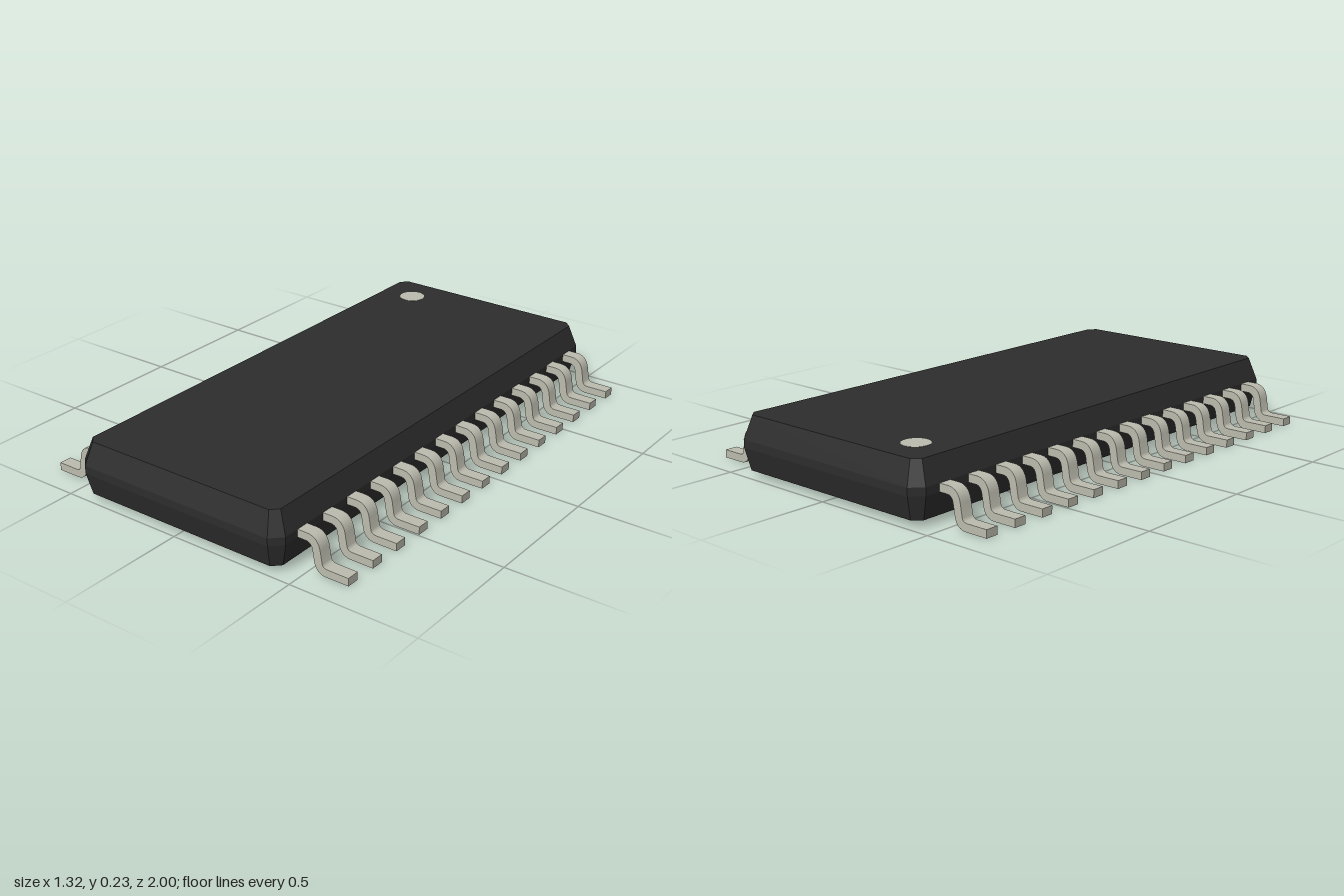
import * as THREE from 'three';
import { toCreasedNormals } from 'three/addons/utils/BufferGeometryUtils.js';

const LEADS = 14, PITCH = 0.134, LEAD_WIDTH = 0.05;

// Rectangle with cut corners at height y
function ring([y, hx, hz, c]) {
  return [
    [hx, -hz + c], [hx, hz - c], [hx - c, hz], [-hx + c, hz],
    [-hx, hz - c], [-hx, -hz + c], [-hx + c, -hz], [hx - c, -hz],
  ].map(([x, z]) => [x, y, z]);
}

// Skin a stack of rings and cap both ends, flat faceted
function loft(sections) {
  const rings = sections.map(ring), pos = [];
  const tri = (...pts) => pts.forEach((p) => pos.push(...p));
  for (let k = 0; k < rings.length - 1; k++) {
    const lo = rings[k], hi = rings[k + 1];
    for (let i = 0; i < 8; i++) {
      const j = (i + 1) % 8;
      tri(lo[i], hi[i], hi[j]);
      tri(lo[i], hi[j], lo[j]);
    }
  }
  const bottom = rings[0], top = rings[rings.length - 1];
  for (let i = 1; i < 7; i++) {
    tri(bottom[0], bottom[i], bottom[i + 1]);
    tri(top[0], top[i + 1], top[i]);
  }
  const geo = new THREE.BufferGeometry();
  geo.setAttribute('position', new THREE.Float32BufferAttribute(pos, 3));
  geo.computeVertexNormals();
  return geo;
}

// Gull-wing lead: side profile extruded across its width
function leadGeometry() {
  const s = new THREE.Shape();
  s.moveTo(0.43, 0.11);
  s.lineTo(0.487, 0.11);
  s.quadraticCurveTo(0.511, 0.11, 0.515, 0.083);
  s.lineTo(0.522, 0.04);
  s.bezierCurveTo(0.527, 0.016, 0.543, 0, 0.57, 0);
  s.lineTo(0.66, 0);
  s.lineTo(0.66, 0.03);
  s.lineTo(0.576, 0.03);
  s.quadraticCurveTo(0.557, 0.03, 0.554, 0.046);
  s.lineTo(0.547, 0.088);
  s.bezierCurveTo(0.542, 0.12, 0.525, 0.14, 0.493, 0.14);
  s.lineTo(0.43, 0.14);
  s.closePath();
  const geo = new THREE.ExtrudeGeometry(s, { depth: LEAD_WIDTH, bevelEnabled: false, curveSegments: 8 });
  geo.translate(0, 0, -LEAD_WIDTH / 2);
  return toCreasedNormals(geo, 0.7);
}

export function createModel() {
  const plastic = new THREE.MeshStandardMaterial({ color: 0x2d2d2d });
  plastic.name = 'blackPlastic';
  const metal = new THREE.MeshStandardMaterial({ color: 0xbcbbae });
  metal.name = 'tinnedMetal';

  const model = new THREE.Group();
  model.name = 'chipPackage';

  // Moulded body: [y, half width, half length, corner cut]
  const body = new THREE.Mesh(loft([
    [0.0225, 0.434, 0.979, 0.03],
    [0.11, 0.455, 1, 0.042],
    [0.14, 0.455, 1, 0.042],
    [0.2265, 0.424, 0.969, 0.027],
  ]), plastic);
  body.name = 'body';
  model.add(body);

  // Round marker for the first pin
  const marker = new THREE.Mesh(new THREE.CylinderGeometry(0.052, 0.052, 0.004, 32), metal);
  marker.name = 'pinOneMarker';
  marker.position.set(-0.283, 0.2255, -0.83);
  model.add(marker);

  // Rows of leads, the right one turned half round
  const geo = leadGeometry();
  for (const side of ['left', 'right']) {
    const row = new THREE.Group();
    row.name = side + 'Leads';
    for (let i = 0; i < LEADS; i++) {
      const lead = new THREE.Mesh(geo, metal);
      lead.name = 'lead';
      lead.position.z = (i - (LEADS - 1) / 2) * PITCH;
      row.add(lead);
    }
    if (side === 'right') row.rotation.y = Math.PI;
    model.add(row);
  }
  return model;
}
